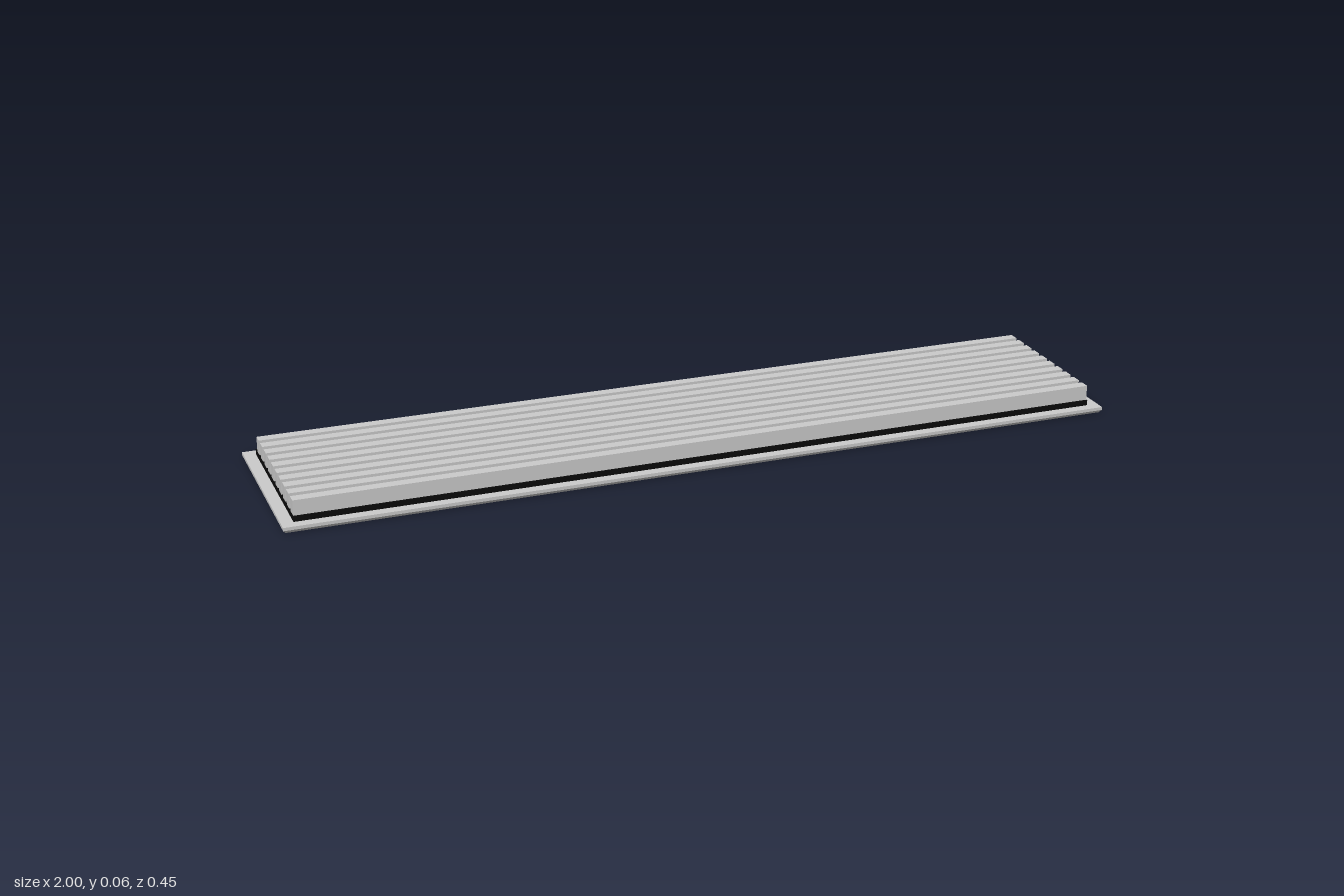
import * as THREE from 'three';

const grey = new THREE.MeshStandardMaterial({ color: 0xcccccc, flatShading: true });
const black = new THREE.MeshStandardMaterial({ color: 0x0a0a0a, flatShading: true });

const HX = 0.972, HZ = 0.202;   // half size of the bed inside the frame
const FRAME_H = 0.015, BED_TOP = 0.028, TOP = 0.064;

function box(name, material, x, z, width, depth, y0, y1) {
  const mesh = new THREE.Mesh(new THREE.BoxGeometry(width, y1 - y0, depth), material);
  mesh.position.set(x, (y0 + y1) / 2, z);
  mesh.name = name;
  return mesh;
}

function rectangle(target, hx, hz) {
  target.moveTo(-hx, -hz);
  target.lineTo(hx, -hz);
  target.lineTo(hx, hz);
  target.lineTo(-hx, hz);
  target.closePath();
  return target;
}

// Rectangular frame whose lower outer edge is chamfered inwards
function frameGeometry() {
  const shape = rectangle(new THREE.Shape(), 1, 0.226);
  shape.holes.push(rectangle(new THREE.Path(), HX, HZ));
  const geometry = new THREE.ExtrudeGeometry(shape, { depth: FRAME_H, steps: 2, bevelEnabled: false });
  geometry.rotateX(-Math.PI / 2);
  const p = geometry.attributes.position;
  for (let i = 0; i < p.count; i++) {
    const outer = Math.abs(p.getX(i)) > 0.99;
    if (outer && p.getY(i) < 0.001) {
      p.setX(i, p.getX(i) - Math.sign(p.getX(i)) * 0.006);
      p.setZ(i, p.getZ(i) - Math.sign(p.getZ(i)) * 0.006);
    }
  }
  geometry.computeVertexNormals();
  return geometry;
}

export function createModel() {
  const model = new THREE.Group();
  model.name = 'slattedGrille';

  const frame = new THREE.Mesh(frameGeometry(), grey);
  frame.name = 'frame';
  model.add(frame);

  // Dark bed that closes the gaps between the slats
  model.add(box('bed', black, 0, 0, 2 * HX, 2 * HZ, FRAME_H, BED_TOP));

  // Ten long slats, showing slightly through the underside of the bed
  const slats = new THREE.Group();
  slats.name = 'slats';
  for (let i = 0; i < 10; i++) {
    slats.add(box('slat', grey, 0, 0.186 - i * 0.0401, 1.942, 0.025, FRAME_H - 0.002, TOP));
  }
  model.add(slats);

  // Two cross bars under the bed
  for (const side of [-1, 1]) {
    model.add(box('crossBar', grey, side * 0.335, 0, 0.024, 2 * HZ, 0.002, FRAME_H));
  }

  return model;
}
